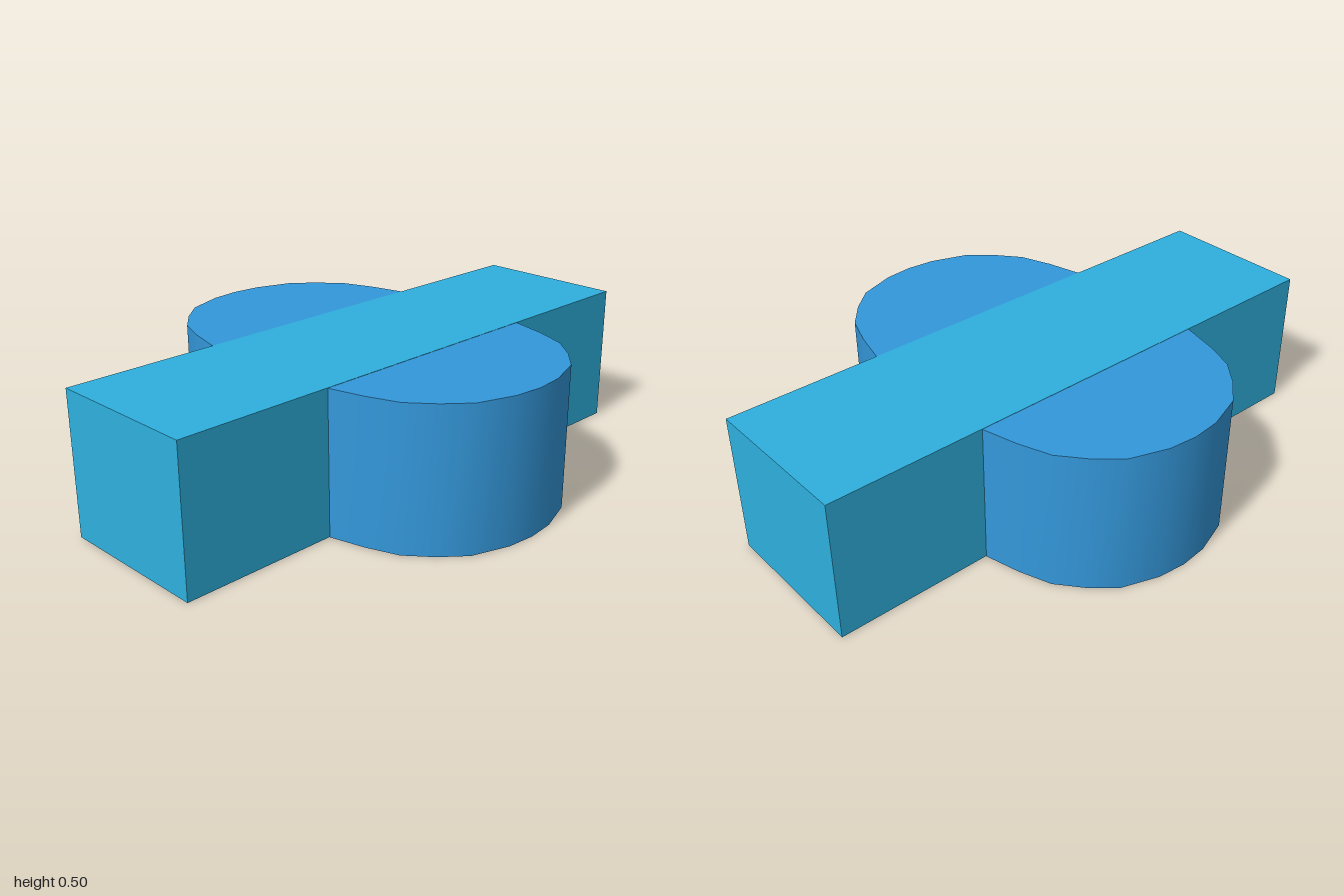
import * as THREE from 'three';
import { toCreasedNormals } from 'three/addons/utils/BufferGeometryUtils.js';

// One quarter of the drum outline as [x, z], from the front tip to the side
const QUARTER = [
  [0, 0.72], [0.1, 0.71], [0.23, 0.665], [0.31, 0.595], [0.38, 0.51],
  [0.42, 0.4], [0.45, 0.28], [0.462, 0.14], [0.465, 0],
];
const STEPS = QUARTER.length - 1;
const GAP = 0.001; // keeps the overlapping flat faces apart

// Solid drum: a cylinder whose rim is moved onto the mirrored quarter outline
function ovalDrum(height) {
  const geometry = new THREE.CylinderGeometry(1, 1, height, STEPS * 4);
  const position = geometry.attributes.position;
  for (let i = 0; i < position.count; i++) {
    const x = position.getX(i), z = position.getZ(i);
    if (Math.hypot(x, z) < 0.5) continue; // cap centres stay
    const angle = Math.atan2(Math.abs(x), Math.abs(z));
    const [px, pz] = QUARTER[Math.round(angle / (Math.PI / 2) * STEPS)];
    position.setX(i, Math.sign(x) * px);
    position.setZ(i, Math.sign(z) * pz);
  }
  return toCreasedNormals(geometry, 0.7);
}

export function createModel() {
  const model = new THREE.Group();

  function add(name, geometry, color, y) {
    const mesh = new THREE.Mesh(geometry, new THREE.MeshStandardMaterial({ color }));
    mesh.name = name;
    mesh.position.y = y;
    model.add(mesh);
  }

  // Long bar, flush with the top
  add('crossBar', new THREE.BoxGeometry(2, 0.5 - GAP, 0.55), 0x2eb0de, 0.25 + GAP / 2);

  // Oval drum through the bar, flush with the bottom
  add('ovalDrum', ovalDrum(0.5 - GAP), 0x3498db, 0.25 - GAP / 2);

  return model;
}
